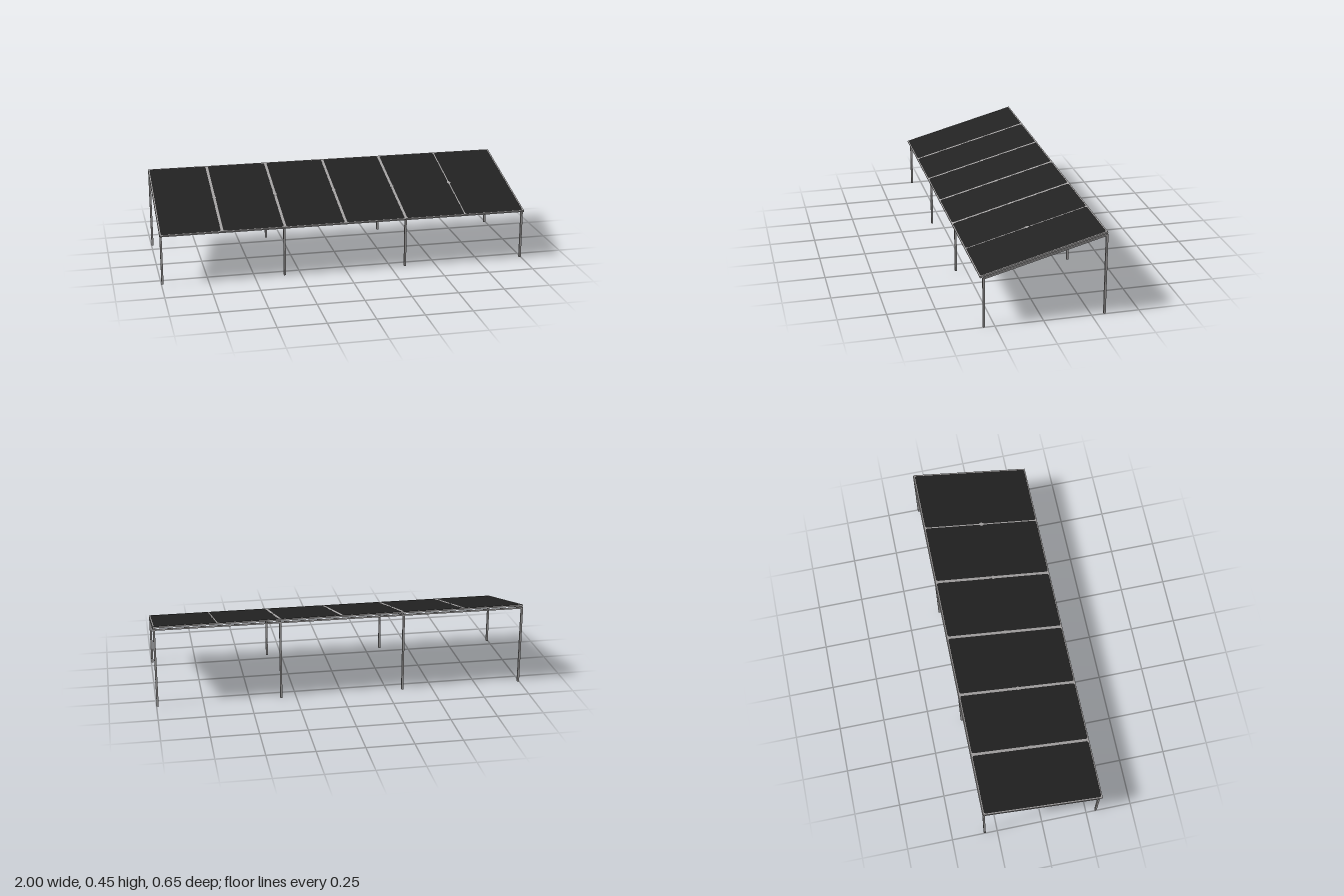
import * as THREE from 'three';

const metal = new THREE.MeshStandardMaterial({ color: 0xa6a4a4 });
metal.name = 'brushedMetal';
const dark = new THREE.MeshStandardMaterial({ color: 0x222222 });
dark.name = 'darkPanel';

const TILT = THREE.MathUtils.degToRad(15);
const CENTRE_Y = 0.361, CENTRE_Z = 0.0015;   // middle of the sloping roof
const ROOF_LENGTH = 0.67, ROOF_THICK = 0.009;
const POST_X = [-0.994, -0.337, 0.331, 0.994];
const SEAMS = [-0.671, -0.335, -0.003, 0.33, 0.663];

function box(name, w, h, d, x, y, z, parent) {
  const mesh = new THREE.Mesh(new THREE.BoxGeometry(w, h, d), metal);
  mesh.name = name;
  mesh.position.set(x, y, z);
  parent.add(mesh);
  return mesh;
}

// Rectangle with small rounded corners, traced into a Shape or Path
function roundedRect(path, x0, x1, y0, y1, r) {
  path.moveTo(x0 + r, y0);
  path.lineTo(x1 - r, y0);
  path.quadraticCurveTo(x1, y0, x1, y0 + r);
  path.lineTo(x1, y1 - r);
  path.quadraticCurveTo(x1, y1, x1 - r, y1);
  path.lineTo(x0 + r, y1);
  path.quadraticCurveTo(x0, y1, x0, y1 - r);
  path.lineTo(x0, y0 + r);
  path.quadraticCurveTo(x0, y0, x0 + r, y0);
  return path;
}

// Flat plate lying in the roof plane, centred on its thickness
function plate(name, shape, depth, material, parent) {
  const geo = new THREE.ExtrudeGeometry(shape, { depth, bevelEnabled: false, curveSegments: 3 });
  geo.translate(0, 0, -depth / 2);
  geo.rotateX(-Math.PI / 2);
  const mesh = new THREE.Mesh(geo, material);
  mesh.name = name;
  parent.add(mesh);
  return mesh;
}

export function createModel() {
  const model = new THREE.Group();
  model.name = 'solarCanopy';

  // Posts: short row in front, tall row behind
  for (const x of POST_X) {
    box('frontPost', 0.011, 0.266, 0.011, x, 0.133, 0.305, model);
    box('backPost', 0.011, 0.437, 0.011, x, 0.2185, -0.319, model);
  }

  const roof = new THREE.Group();
  roof.name = 'slopingRoof';
  roof.position.set(0, CENTRE_Y, CENTRE_Z);
  roof.rotation.x = TILT;
  model.add(roof);

  // Frame with one opening per panel, and the dark panes filling them
  const half = ROOF_LENGTH / 2;
  const frame = new THREE.Shape();
  frame.moveTo(-1, -half);
  frame.lineTo(1, -half);
  frame.lineTo(1, half);
  frame.lineTo(-1, half);
  frame.closePath();
  const edges = [-1, ...SEAMS, 1];
  for (let i = 0; i < 6; i++) {
    const left = edges[i] + (i === 5 ? 0.003 : 0.007);
    const right = edges[i + 1] - (i === 4 ? 0.003 : 0.007);
    const bounds = [left, right, -half + 0.006, half - 0.006, 0.012];
    frame.holes.push(roundedRect(new THREE.Path(), ...bounds));
    plate('panel', roundedRect(new THREE.Shape(), ...bounds), ROOF_THICK - 0.0006, dark, roof);
  }
  plate('panelFrame', frame, ROOF_THICK, metal, roof);

  // Diamond clamps at the middle of each seam
  for (const x of SEAMS) {
    const diamond = new THREE.Shape();
    diamond.moveTo(x - 0.011, 0);
    diamond.lineTo(x, -0.022);
    diamond.lineTo(x + 0.011, 0);
    diamond.lineTo(x, 0.022);
    plate('seamClamp', diamond, ROOF_THICK + 0.0006, metal, roof);
  }

  // Rafters under the panels, from front post to back post
  const rafterY = -0.0135;
  for (const x of POST_X) {
    box('rafter', 0.011, 0.0085, 0.648, x, rafterY, -0.009, roof);
  }

  // Beams along the front and back, and two purlins near the middle
  box('frontBeam', 1.99, 0.0085, 0.01, 0, rafterY, 0.31, roof);
  box('backBeam', 1.99, 0.0085, 0.011, 0, rafterY, -0.328, roof);
  for (const z of [0.06, -0.055]) {
    box('purlin', 1.985, 0.01, 0.008, 0, -0.0095, z, roof);
  }
  return model;
}
